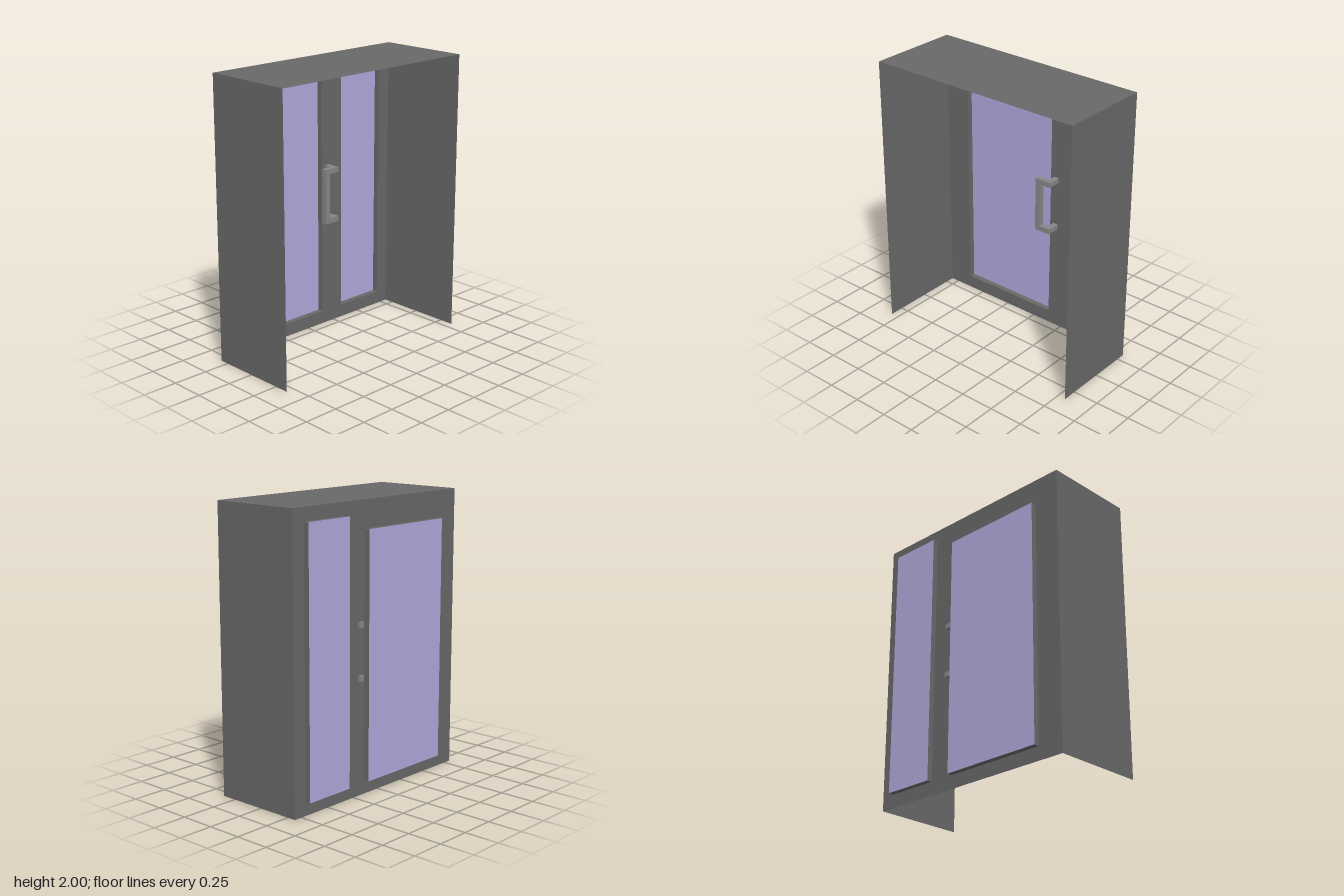
import * as THREE from 'three';

const W = 0.81, H = 2, FRONT = 0.355, BACK = -0.315, GLASS = -0.355;

// Window openings: [name, x0, x1, y0, y1]
const WINDOWS = [
  ['doorWindow', -0.62, 0.14, 0.095, 1.81],
  ['sideWindow', 0.33, 0.71, 0.095, 1.91],
];

export function createModel() {
  const model = new THREE.Group();
  const frameMat = new THREE.MeshStandardMaterial({ color: 0x686868, side: THREE.DoubleSide });
  const glassMat = new THREE.MeshStandardMaterial({ color: 0xb0a8dc, side: THREE.DoubleSide });
  const handleMat = new THREE.MeshStandardMaterial({ color: 0x868686 });

  const add = (parent, name, geometry, material) => {
    const mesh = new THREE.Mesh(geometry, material);
    mesh.name = name;
    parent.add(mesh);
    return mesh;
  };

  // Thin sheets: upright facing x, level facing y
  const sideSheet = (parent, name, x, y0, y1, z0, z1) =>
    add(parent, name, new THREE.PlaneGeometry(z1 - z0, y1 - y0)
      .rotateY(Math.sign(x) * Math.PI / 2), frameMat)
      .position.set(x, (y0 + y1) / 2, (z0 + z1) / 2);
  const levelSheet = (parent, name, y, x0, x1, z0, z1) =>
    add(parent, name, new THREE.PlaneGeometry(x1 - x0, z1 - z0)
      .rotateX(-Math.PI / 2), frameMat)
      .position.set((x0 + x1) / 2, y, (z0 + z1) / 2);

  // Outer shell, open at the front and the bottom
  sideSheet(model, 'leftWall', W, 0, H, BACK, FRONT);
  sideSheet(model, 'rightWall', -W, 0, H, BACK, FRONT);
  levelSheet(model, 'top', H, -W, W, BACK, FRONT);

  // Door wall with window openings
  const rect = (path, x0, x1, y0, y1) =>
    path.moveTo(x0, y0).lineTo(x1, y0).lineTo(x1, y1).lineTo(x0, y1).closePath();
  const wall = rect(new THREE.Shape(), -W, W, 0, H);
  for (const [, ...box] of WINDOWS) wall.holes.push(rect(new THREE.Path(), ...box));
  add(model, 'doorWall', new THREE.ShapeGeometry(wall), frameMat).position.z = BACK;

  // Windows: shallow reveals closed by a pane
  for (const [name, x0, x1, y0, y1] of WINDOWS) {
    const group = new THREE.Group();
    group.name = name;
    for (const x of [x0, x1]) sideSheet(group, 'sideReveal', x, y0, y1, GLASS, BACK);
    for (const y of [y0, y1]) levelSheet(group, 'levelReveal', y, x0, x1, GLASS, BACK);
    add(group, 'pane', new THREE.PlaneGeometry(x1 - x0, y1 - y0), glassMat)
      .position.set((x0 + x1) / 2, (y0 + y1) / 2, GLASS);
    model.add(group);
  }

  // Handle: upright grip, two arms and two stubs through the wall
  const handle = new THREE.Group();
  handle.name = 'handle';
  const bar = (name, x0, x1, y0, y1, z0, z1) =>
    add(handle, name, new THREE.BoxGeometry(x1 - x0, y1 - y0, z1 - z0), handleMat)
      .position.set((x0 + x1) / 2, (y0 + y1) / 2, (z0 + z1) / 2);
  bar('grip', 0.083, 0.122, 0.8, 1.2, -0.255, -0.215);
  for (const y of [0.8, 1.163]) {
    bar('arm', 0.122, 0.207, y, y + 0.037, -0.255, -0.215);
    bar('stub', 0.168, 0.207, y, y + 0.037, -0.335, -0.255);
  }
  model.add(handle);

  return model;
}
